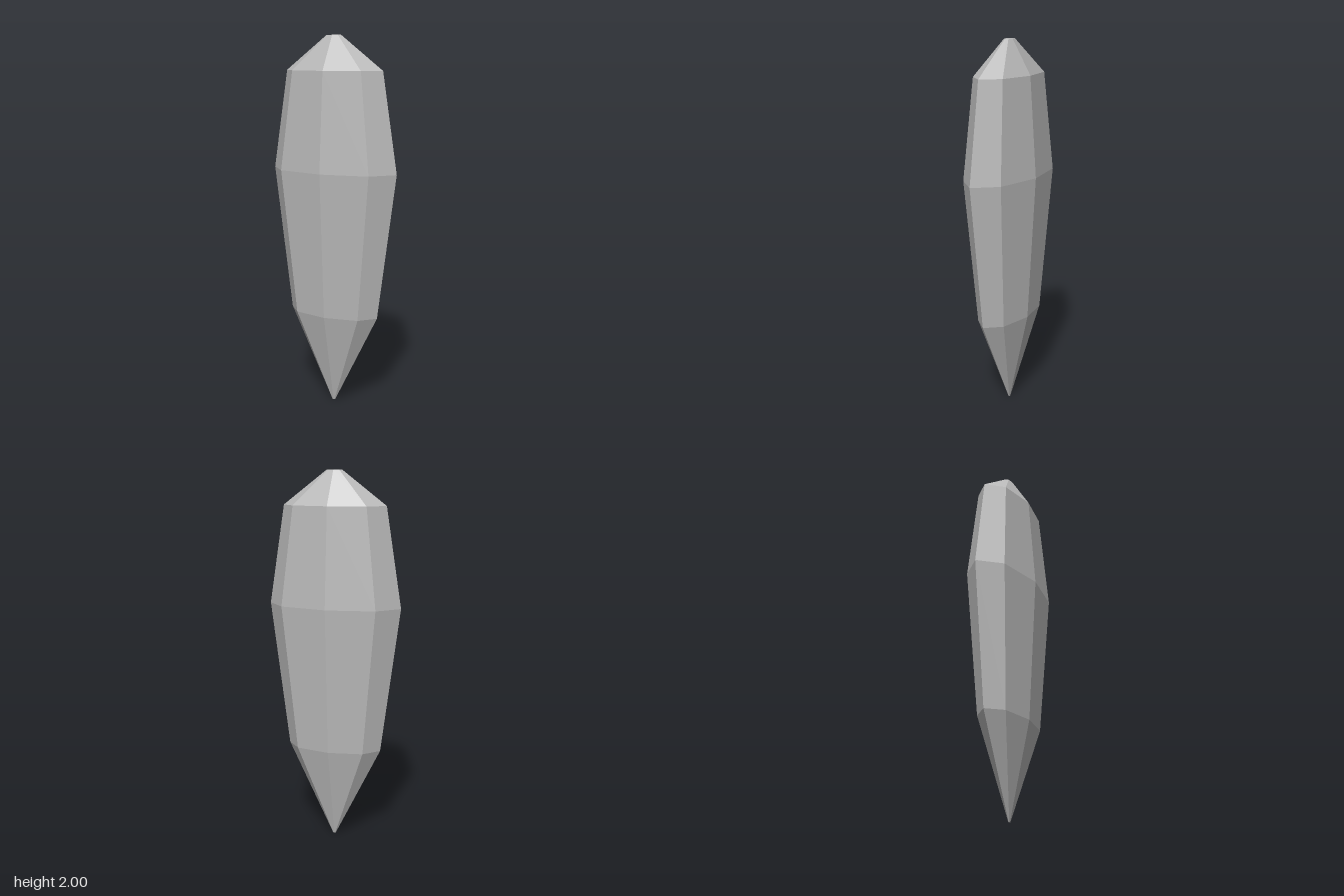
import * as THREE from 'three';

const SIDES = 8;
const DEPTH = 0.45; // flattening along z

export function createModel() {
  const group = new THREE.Group();
  group.name = 'crystal';

  const crystalGrey = new THREE.MeshStandardMaterial({ color: 0xb8b8b8, flatShading: true });
  crystalGrey.name = 'crystal grey';

  // Half profile from the pointed base to the small flat tip
  const profile = [
    [0, 0], [0.008, 0], [0.26, 0.51], [0.363, 1.295], [0.28, 1.82], [0.042, 2], [0, 2],
  ].map(([r, y]) => new THREE.Vector2(r, y));

  // Eight-sided shard, squashed front to back, with separate facets
  const lathe = new THREE.LatheGeometry(profile, SIDES);
  lathe.scale(1, 1, DEPTH);
  const geometry = lathe.toNonIndexed();
  geometry.computeVertexNormals();

  const shard = new THREE.Mesh(geometry, crystalGrey);
  shard.name = 'crystalShard';
  group.add(shard);
  return group;
}
